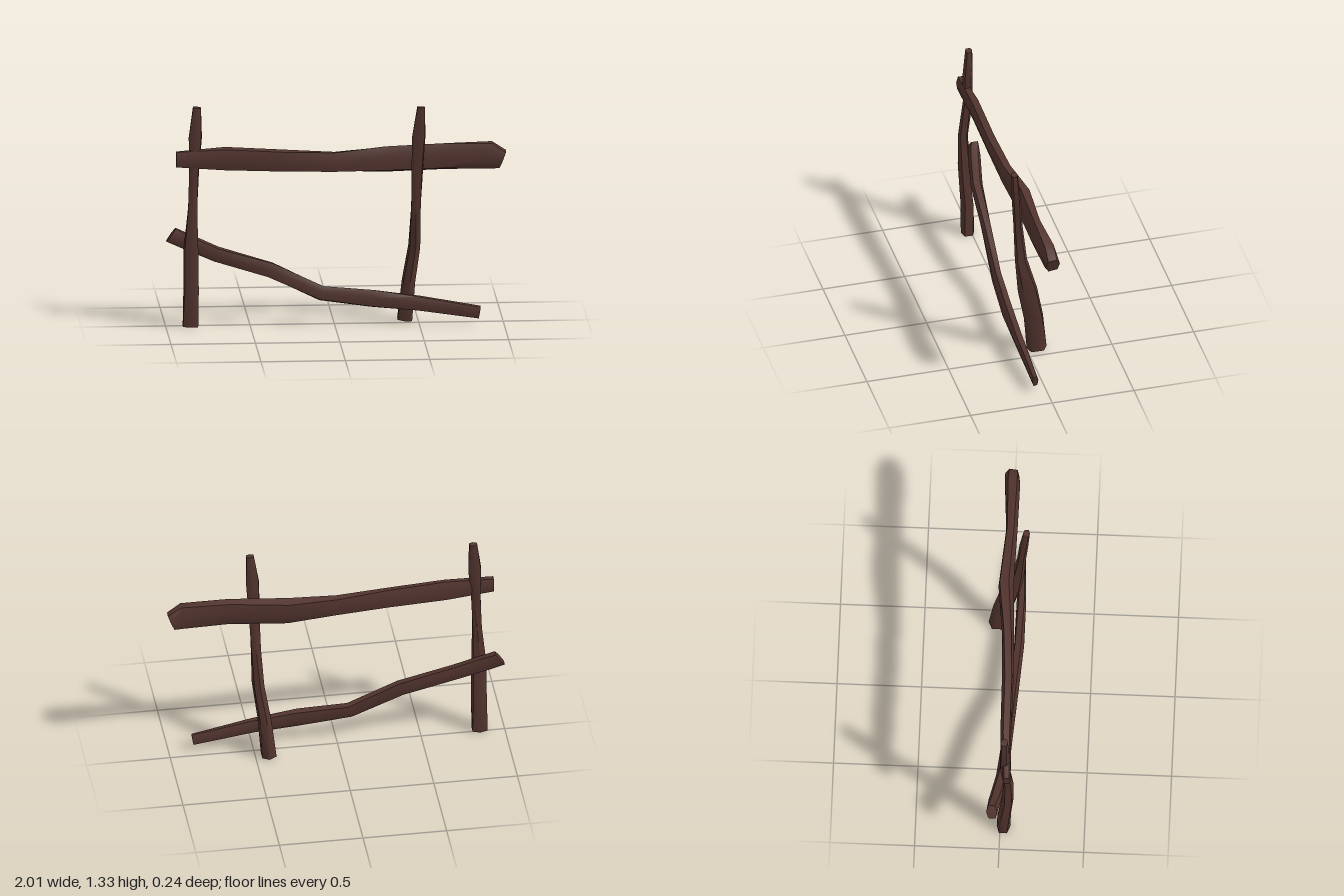
import * as THREE from 'three';
import { toCreasedNormals } from 'three/addons/utils/BufferGeometryUtils.js';

// Uneven six-sided cross-sections; logs blend from one to the other, which twists the grain
const SECTION_A = [[1, 0.35], [0.3, 1], [-0.75, 0.9], [-1, -0.3], [-0.35, -1], [0.8, -0.85]];
const SECTION_B = [[0.85, 0.75], [-0.2, 1], [-1, 0.5], [-0.8, -0.8], [0.25, -1], [1, -0.45]];
const SIDES = 6;

// Stations: [x, y, z, half width seen from the front, half depth, end slant]
function logGeometry(stations) {
  const points = [], index = [];
  const last = stations.length - 1;
  stations.forEach(([x, y, z, w, d, slant = 0], i) => {
    const p = stations[Math.max(i - 1, 0)], n = stations[Math.min(i + 1, last)];
    const t = new THREE.Vector2(n[0] - p[0], n[1] - p[1]).normalize();
    const blend = 0.5 + 0.5 * Math.sin(i * 1.1);
    for (let j = 0; j < SIDES; j++) {
      const u = THREE.MathUtils.lerp(SECTION_A[j][0], SECTION_B[j][0], blend);
      const v = THREE.MathUtils.lerp(SECTION_A[j][1], SECTION_B[j][1], blend);
      points.push(
        x - t.y * u * w + t.x * u * slant,
        y + t.x * u * w + t.y * u * slant,
        z + v * d);
    }
  });
  // Bark
  for (let i = 0; i < last; i++) {
    for (let j = 0; j < SIDES; j++) {
      const k = (j + 1) % SIDES;
      const a = i * SIDES + j, b = i * SIDES + k;
      index.push(a, b, a + SIDES, b, b + SIDES, a + SIDES);
    }
  }
  // Cut ends
  const end = last * SIDES;
  for (let j = 1; j < SIDES - 1; j++) {
    index.push(0, j + 1, j, end, end + j, end + j + 1);
  }
  const geometry = new THREE.BufferGeometry();
  geometry.setAttribute('position', new THREE.Float32BufferAttribute(points, 3));
  geometry.setIndex(index);
  return toCreasedNormals(geometry, 1.0);
}

const LOGS = {
  leftPost: [
    [-0.853, 0.004, 0.02, 0.05, 0.04],
    [-0.85, 0.22, 0.025, 0.045, 0.04],
    [-0.852, 0.48, 0.045, 0.043, 0.035],
    [-0.842, 0.72, 0.05, 0.03, 0.03],
    [-0.832, 0.95, 0.025, 0.03, 0.027],
    [-0.825, 1.15, 0.027, 0.041, 0.028],
    [-0.815, 1.33, 0.023, 0.025, 0.022],
  ],
  rightPost: [
    [0.421, 0.01, -0.06, 0.047, 0.06],
    [0.442, 0.25, -0.035, 0.038, 0.06],
    [0.473, 0.47, 0.01, 0.034, 0.06],
    [0.48, 0.7, 0.052, 0.031, 0.036],
    [0.487, 0.95, 0.072, 0.035, 0.025],
    [0.495, 1.15, 0.085, 0.041, 0.025],
    [0.508, 1.33, 0.1, 0.024, 0.02],
  ],
  upperRail: [
    [-0.94, 1.02, 0.042, 0.05, 0.024],
    [-0.65, 1.018, 0.025, 0.068, 0.032],
    [-0.3, 1.0, 0.022, 0.064, 0.034],
    [0, 0.985, 0.012, 0.063, 0.036],
    [0.3, 0.993, -0.012, 0.08, 0.045],
    [0.65, 1.01, 0.008, 0.083, 0.034],
    [0.93, 1.012, 0, 0.083, 0.045],
    [0.997, 0.985, -0.004, 0.055, 0.042],
  ],
  lowerRail: [
    [-0.965, 0.545, -0.045, 0.05, 0.033, 0.012],
    [-0.88, 0.51, -0.03, 0.046, 0.036],
    [-0.7, 0.436, 0.005, 0.044, 0.035],
    [-0.38, 0.34, 0.03, 0.048, 0.03],
    [-0.08, 0.2, 0.05, 0.046, 0.028],
    [0.22, 0.168, 0.068, 0.055, 0.03],
    [0.5, 0.135, 0.07, 0.045, 0.028],
    [0.857, 0.075, 0.065, 0.037, 0.018],
  ],
};

export function createModel() {
  const bark = new THREE.MeshStandardMaterial({ color: 0x52342e });
  bark.name = 'darkBrownWood';

  const fence = new THREE.Group();
  fence.name = 'rusticFence';
  for (const [name, stations] of Object.entries(LOGS)) {
    const log = new THREE.Mesh(logGeometry(stations), bark);
    log.name = name;
    fence.add(log);
  }
  return fence;
}
